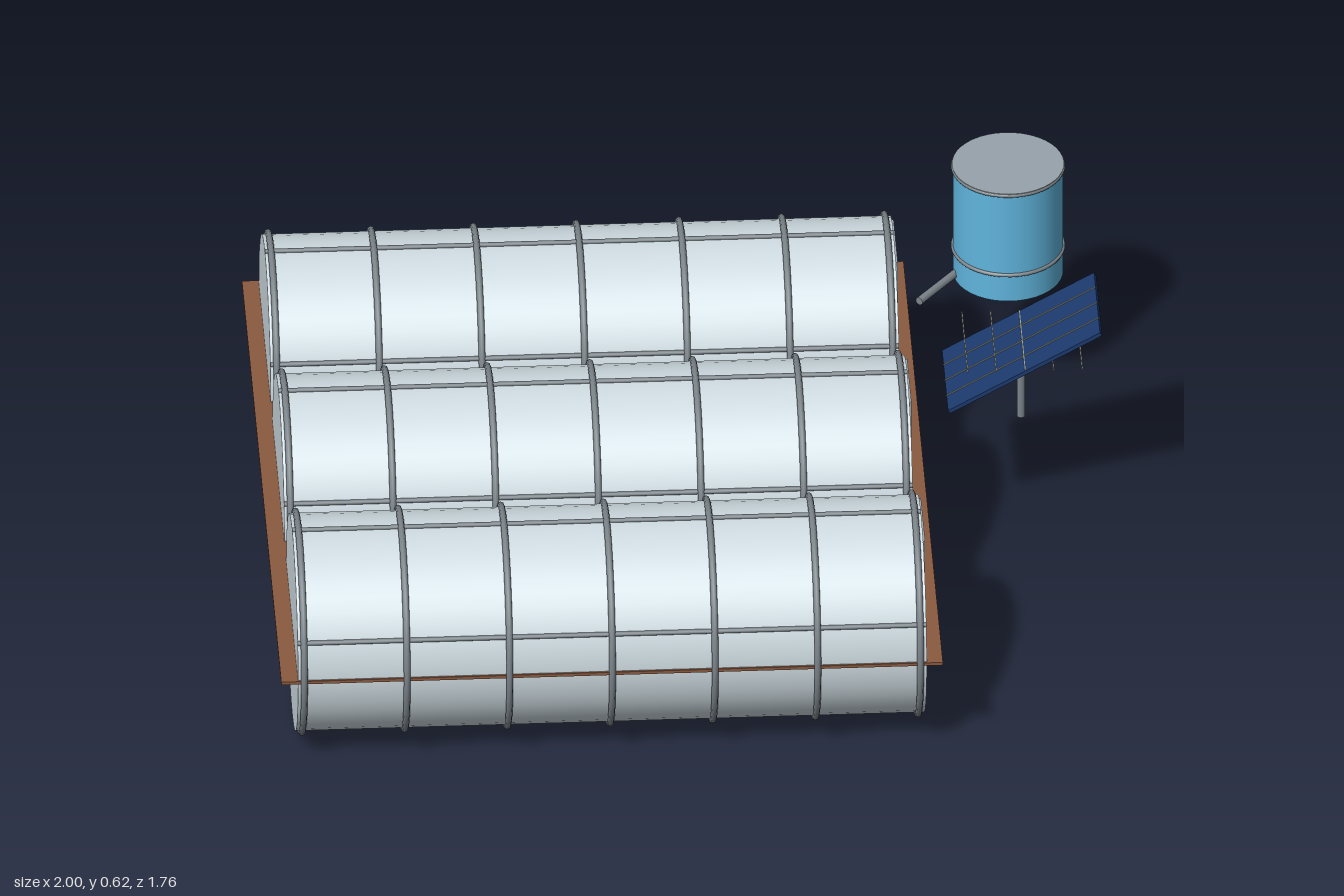
import * as THREE from 'three';

const mat = (name, color) => {
  const m = new THREE.MeshStandardMaterial({ color });
  m.name = name;
  return m;
};

export function createModel() {
  const skin = mat('pale skin', 0xcfdce2);
  const steel = mat('steel frame', 0x7c858b);
  const doorGrey = mat('door grey', 0x9aa6af);
  const soil = mat('brown base', 0x8b5a40);
  const blue = mat('tank blue', 0x60b5de);
  const lidGrey = mat('lid grey', 0x98a3ab);
  const navy = mat('panel navy', 0x1c3a6e);
  const wire = mat('panel wire', 0xa0a294);

  const root = new THREE.Group();
  const add = (parent, name, geo, material, x = 0, y = 0, z = 0) => {
    const m = new THREE.Mesh(geo, material);
    m.name = name;
    m.position.set(x, y, z);
    parent.add(m);
    return m;
  };
  // Round bar between two points
  const bar = (parent, name, a, b, r, material) => {
    const path = new THREE.LineCurve3(new THREE.Vector3(...a), new THREE.Vector3(...b));
    const m = add(parent, name, new THREE.CylinderGeometry(r, r, path.getLength(), 10), material);
    m.position.copy(path.getPoint(0.5));
    m.quaternion.setFromUnitVectors(new THREE.Vector3(0, 1, 0), path.getTangent(0));
  };

  // Base sheet running through all three tunnels, its edges just showing at the sides
  add(root, 'baseSheet', new THREE.BoxGeometry(1.572, 0.008, 1.727), soil, -0.214, 0.272, 0.005);

  // Tunnel houses
  const cy = 0.272, R = 0.259, x0 = -0.96, x1 = 0.534;
  const shellGeo = new THREE.CylinderGeometry(R, R, x1 - x0, 48).rotateZ(Math.PI / 2);
  const hoopGeo = new THREE.TorusGeometry(R + 0.004, 0.008, 8, 48).rotateY(Math.PI / 2);
  for (const z of [-0.595, 0.005, 0.605]) {
    const house = new THREE.Group();
    house.name = 'tunnelHouse';
    house.position.set(0, cy, z);
    root.add(house);
    add(house, 'shell', shellGeo, skin, (x0 + x1) / 2, 0, 0);
    for (let i = 0; i < 7; i++) add(house, 'hoop', hoopGeo, steel, -0.945 + i * 0.244, 0, 0);
    // Lengthwise rails at the ridge and flanks, and sunk ones at the base line
    for (const [deg, r] of [[0, R - 0.004], [22, R], [90, R + 0.002], [158, R], [180, R - 0.004]]) {
      const a = THREE.MathUtils.degToRad(deg);
      const y = Math.sin(a) * r, w = Math.cos(a) * r;
      bar(house, 'rail', [x0, y, w], [x1, y, w], 0.006, steel);
    }
    add(house, 'door', new THREE.BoxGeometry(0.016, 0.235, 0.185), doorGrey, 0.531, 0.121, 0.003);
  }

  // Water tank with lid, bands and outlet pipe
  const tank = new THREE.Group();
  tank.name = 'waterTank';
  tank.position.set(0.814, 0, -0.745);
  root.add(tank);
  add(tank, 'tankBody', new THREE.CylinderGeometry(0.131, 0.131, 0.3, 40), blue, 0, 0.465, 0);
  add(tank, 'tankLid', new THREE.CylinderGeometry(0.133, 0.133, 0.01, 40), lidGrey, 0, 0.616, 0);
  const bandGeo = new THREE.TorusGeometry(0.131, 0.005, 8, 40).rotateX(Math.PI / 2);
  for (const y of [0.389, 0.615]) add(tank, 'tankBand', bandGeo, steel, 0, y, 0);
  bar(root, 'outletPipe', [0.595, 0.33, -0.603], [0.7, 0.33, -0.735], 0.01, steel);

  // Solar panel on a post
  const solar = new THREE.Group();
  solar.name = 'solarPanel';
  solar.position.set(0.817, 0.481, -0.183);
  root.add(solar);
  bar(solar, 'panelPost', [-0.003, -0.203, 0.005], [-0.003, -0.01, 0.005], 0.01, steel);
  const tilted = new THREE.Group();
  tilted.name = 'tiltedPanel';
  tilted.rotation.z = Math.PI / 6;
  solar.add(tilted);
  add(tilted, 'panel', new THREE.BoxGeometry(0.417, 0.01, 0.26), navy);
  // Long wires follow the slope, cross wires stay level
  for (let i = -1; i <= 1; i++)
    add(tilted, 'longWire', new THREE.BoxGeometry(0.417, 0.002, 0.003), wire, 0, 0.006, i * 0.066);
  for (let i = -2; i <= 2; i++)
    add(solar, 'crossWire', new THREE.BoxGeometry(0.003, 0.003, 0.26), wire, i * 0.068, 0.007, 0);

  return root;
}
